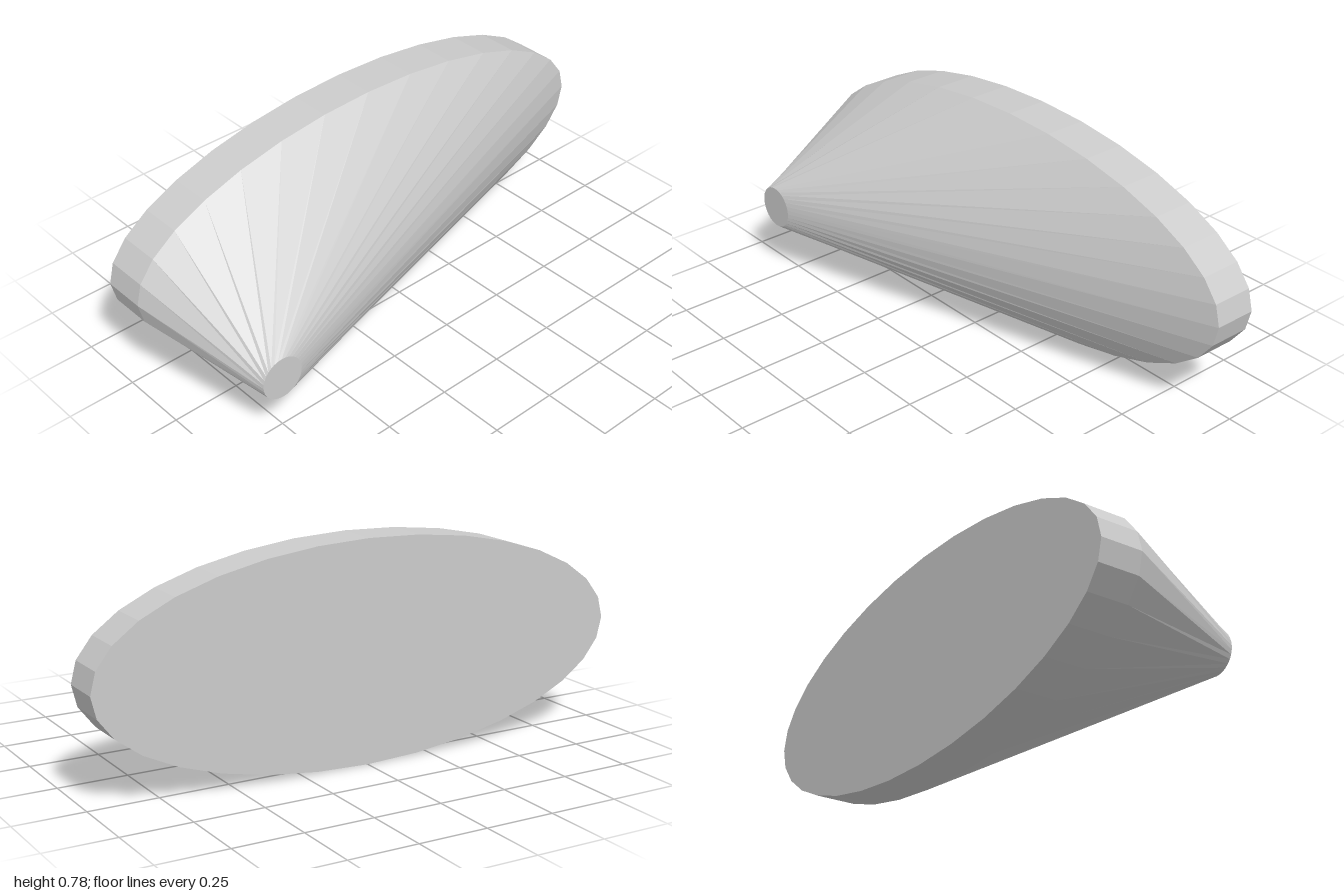
import * as THREE from 'three';

// Cross-sections from back to front: centre, radii and depth
const SECTIONS = [
  { x: 0, y: 0.392, rx: 1, ry: 0.392, z: -0.312 },
  { x: 0, y: 0.392, rx: 1, ry: 0.392, z: -0.157 },
  { x: -0.785, y: 0.263, rx: 0.078, ry: 0.078, z: 0.312 },
];

export function createModel() {
  const group = new THREE.Group();
  group.name = 'offsetNozzle';

  // Unit cylinder along z whose three rings are moved onto the sections
  const cylinder = new THREE.CylinderGeometry(1, 1, 2, 32, 2).rotateX(Math.PI / 2);
  const pos = cylinder.attributes.position;
  for (let i = 0; i < pos.count; i++) {
    const s = SECTIONS[Math.round(pos.getZ(i)) + 1];
    pos.setXYZ(i, s.x + pos.getX(i) * s.rx, s.y + pos.getY(i) * s.ry, s.z);
  }

  // Faceted shell: elliptical rim plate lofted to a small round tip
  const geometry = cylinder.toNonIndexed();
  geometry.computeVertexNormals();
  const material = new THREE.MeshStandardMaterial({ color: 0xcccccc, flatShading: true });
  const body = new THREE.Mesh(geometry, material);
  body.name = 'ellipseToRoundBody';
  group.add(body);
  return group;
}
